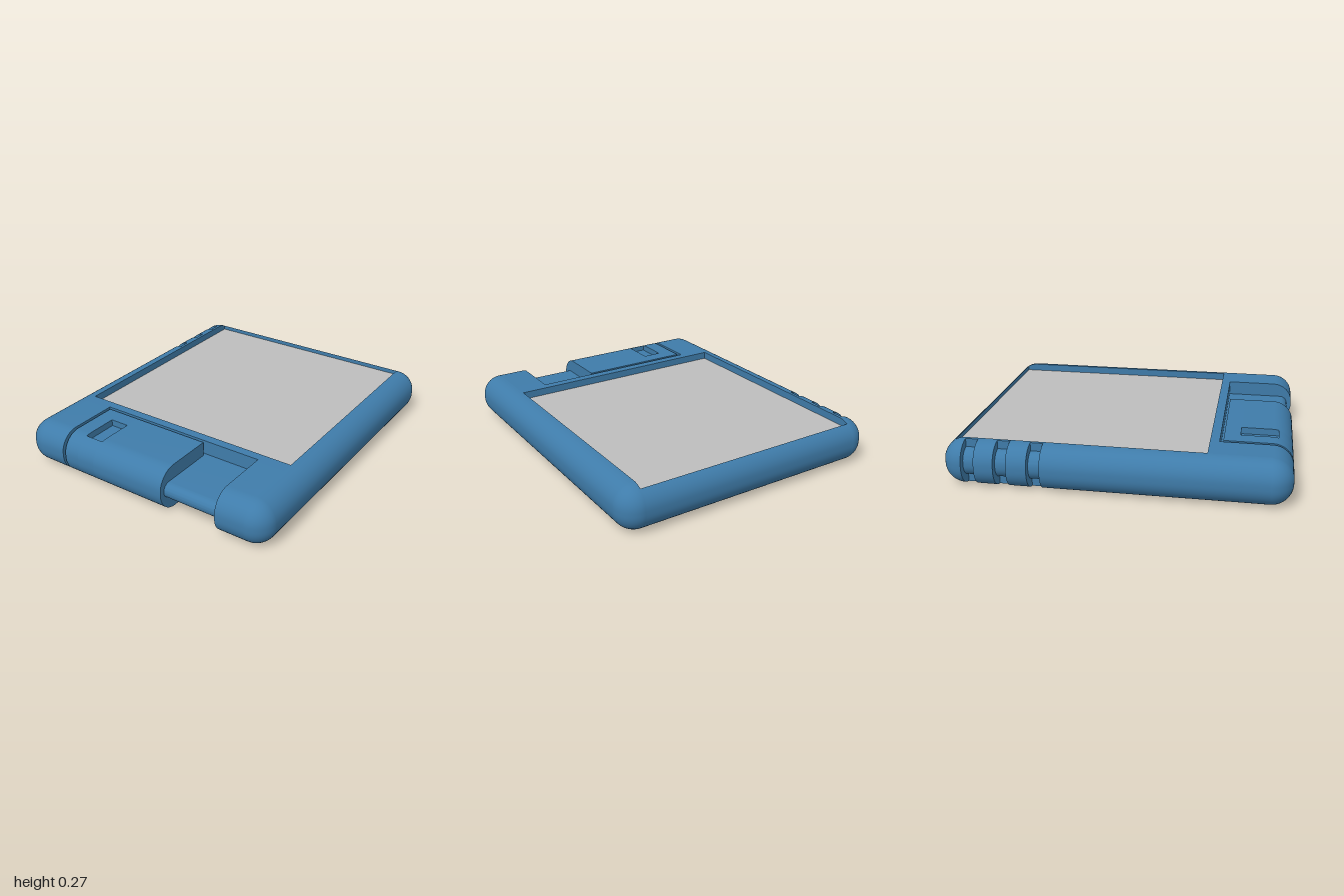
import * as THREE from 'three';
import { toCreasedNormals } from 'three/addons/utils/BufferGeometryUtils.js';

const W = 0.855, H = 0.27, R = 0.125;   // half width, thickness, edge radius
const CX = W - R, CZ = 1 - R;           // centres of the rounded corners

// Slab section from a square inner end at u = 0 to a rounded end at u = len,
// with an optional notch [from, to, floorY] sunk into its top
function outline(len, r = R, h = H, notch = null, n = 12) {
  const pts = [];
  if (len > r) pts.push(new THREE.Vector2(0, 0));
  const add = (a, cy) => pts.push(new THREE.Vector2(len - r + r * Math.cos(a), cy + r * Math.sin(a)));
  for (let i = 0; i <= n; i++) add(-Math.PI / 2 * (1 - i / n), r);
  for (let i = h - 2 * r > 1e-4 ? 0 : 1; i <= n; i++) add(Math.PI / 2 * i / n, h - r);
  if (len > r) pts.push(new THREE.Vector2(0, h));
  if (!notch) return pts;
  const [a, b, floor] = notch;
  const top = u => u <= len - r ? h : h - r + Math.sqrt(r * r - (u - len + r) ** 2);
  const outer = pts.filter(p => p.y < h / 2 || p.x > b + 1e-4);
  const inner = pts.filter(p => p.y > h / 2 && p.x < a - 1e-4);
  const cut = [[b, top(b)], [b, floor], [a, floor], [a, top(a)]].map(p => new THREE.Vector2(...p));
  return [...outer, ...cut, ...inner];
}

export function createModel() {
  const model = new THREE.Group();
  const blue = new THREE.MeshStandardMaterial({ color: 0x3f7caa });
  blue.name = 'blue plastic';
  const grey = new THREE.MeshStandardMaterial({ color: 0xbebebe });
  grey.name = 'grey label';

  function add(name, geometry, material, x = 0, y = 0, z = 0, turn = 0) {
    const mesh = new THREE.Mesh(geometry, material);
    mesh.name = name;
    mesh.position.set(x, y, z);
    mesh.rotation.y = turn;
    model.add(mesh);
  }
  const extrude = (pts, depth) => toCreasedNormals(
    new THREE.ExtrudeGeometry(new THREE.Shape(pts), { depth, bevelEnabled: false }), 0.6);

  // Extrusions whose rounded end faces front, back, left (+x) or right (-x)
  const toFront = (name, pts, x0, x1, z, y = 0) => add(name, extrude(pts, x1 - x0), blue, x1, y, z, -Math.PI / 2);
  const toBack = (name, pts, x0, x1, z, y = 0) => add(name, extrude(pts, x1 - x0), blue, x0, y, z, Math.PI / 2);
  const toLeft = (name, pts, z0, z1, x, y = 0) => add(name, extrude(pts, z1 - z0), blue, x, y, z0, 0);
  const toRight = (name, pts, z0, z1, x, y = 0) => add(name, extrude(pts, z1 - z0), blue, x, y, z1, Math.PI);

  // Main case with the sunken label area, from the shutter bay to the back
  const bayZ = 0.575, edge = CX - 0.005, floorY = 0.22;
  toBack('case', outline(bayZ + 1, R, H, [bayZ - 0.52, bayZ + 0.94, floorY]), -edge, edge, bayZ);
  toBack('leftLabelRim', outline(bayZ + 1), edge, CX, bayZ);
  toBack('rightLabelRim', outline(bayZ + 1), -CX, -edge, bayZ);
  add('label', new THREE.BoxGeometry(2 * edge, 0.004, 1.46), grey, 0, floorY + 0.002, -0.21);

  // Front shoulders either side of the shutter bay
  toFront('leftShoulder', outline(1 - bayZ), 0.545, CX, bayZ);
  toFront('rightShoulder', outline(1 - bayZ), -CX, -0.55, bayZ);

  // Rounded corners
  [[1, 1], [1, -1], [-1, -1], [-1, 1]].forEach(([sx, sz], i) => {
    add('corner', new THREE.LatheGeometry(outline(R), 12, i * Math.PI / 2, Math.PI / 2), blue, sx * CX, 0, sz * CZ);
  });

  // Plain left rail, and right rail broken by three grip grooves
  toLeft('leftRail', outline(R), -CZ, CZ, CX);
  let z = -CZ;
  for (const [g0, g1] of [[-0.87, -0.795], [-0.68, -0.605], [-0.485, -0.41]]) {
    toRight('rightRail', outline(R), z, g0, -CX);
    toRight('grooveCore', outline(0.085, 0.08, 0.17), g0, g1, -CX, 0.05);
    add('grooveWall', new THREE.BoxGeometry(0.015, H, g1 - g0), blue, -CX - 0.0075, H / 2, (g0 + g1) / 2);
    z = g1;
  }
  toRight('rightRail', outline(R), z, CZ, -CX);

  // Tongue carrying the sliding shutter
  toFront('tongue', outline(0.395, 0.0475, 0.095), -0.55, 0.545, bayZ, 0.0875);

  // Sliding shutter with a finger recess in its top
  const slideZ = 0.595, slideL = 1 - slideZ;
  toFront('shutter', outline(slideL), -0.53, -0.43, slideZ);
  toFront('shutterRecess', outline(slideL, R, H, [0.095, 0.315, 0.23]), -0.43, -0.31, slideZ);
  toFront('shutter', outline(slideL), -0.31, 0.185, slideZ);

  return model;
}
